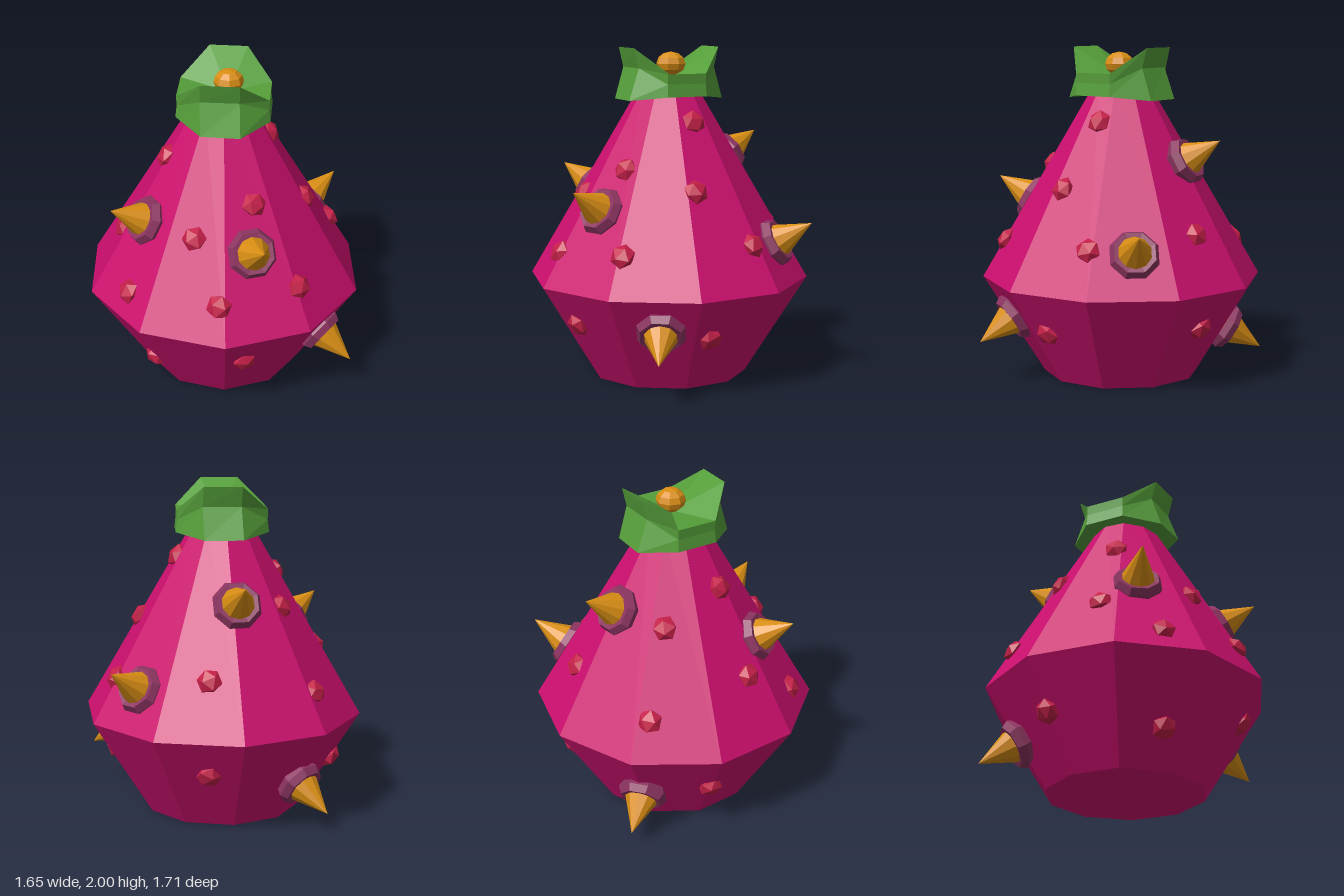
import * as THREE from 'three';

const mat = (color) => new THREE.MeshStandardMaterial({ color, flatShading: true, side: THREE.DoubleSide });
const rad = THREE.MathUtils.degToRad;
const SIDES = 10, TWIST = -2.8, WAIST = 0.6;
const R_BASE = 0.48, R_WAIST = 0.855, R_NECK = 0.18, NECK = 1.752;

// Position on the ten-sided body at an angle (0 = front, 90 = +x) and height, facing outwards
function placeOnBody(object, deg, y) {
  const upper = y > WAIST;
  const slope = upper ? (R_NECK - R_WAIST) / (NECK - WAIST) : (R_WAIST - R_BASE) / WAIST;
  const step = 360 / SIDES;
  const off = (((deg - TWIST) % step) + step) % step - step / 2;
  const r = (R_WAIST + slope * (y - WAIST)) * Math.cos(rad(step / 2)) / Math.cos(rad(off));
  const s = Math.sin(rad(deg)), c = Math.cos(rad(deg));
  object.position.set(s * r, y, c * r);
  const normal = new THREE.Vector3(s, -slope, c).normalize();
  // turn first to the angle, then tilt, so every piece sits upright on its face
  const side = new THREE.Vector3(c, 0, -s);
  const m = new THREE.Matrix4().makeBasis(side, normal, new THREE.Vector3().crossVectors(side, normal));
  object.quaternion.setFromRotationMatrix(m);
}

// Leafy cap: three eight-sided rings with raised flaps at front and back, dished on top
function capGeometry() {
  const pos = [], idx = [], n = 8;
  for (let ring = 0; ring < 3; ring++) {
    for (let i = 0; i < n; i++) {
      const a = rad(13.6 + i * 45);
      const flap = i % 4 === 0 || i % 4 === 3;
      const shrink = flap ? [1, 0.79, 0.9][ring] : [1, 0.97, 0.98][ring];
      const y = flap ? [1.69, 1.88, 2][ring] : [1.715, 1.79, 1.85][ring];
      const xs = flap && ring ? 1 / shrink : 1; // flaps lean in z only
      pos.push(0.005 + Math.sin(a) * 0.3 * shrink * xs, y, Math.cos(a) * 0.335 * shrink);
    }
  }
  pos.push(0.03, 1.83, 0, 0, 1.72, 0);
  for (let i = 0; i < n; i++) {
    const j = (i + 1) % n;
    for (const k of [0, n]) idx.push(k + i, k + j, k + n + j, k + i, k + n + j, k + n + i);
    idx.push(2 * n + i, 2 * n + j, 3 * n, j, i, 3 * n + 1);
  }
  const g = new THREE.BufferGeometry();
  g.setAttribute('position', new THREE.Float32BufferAttribute(pos, 3));
  g.setIndex(idx);
  g.computeVertexNormals();
  return g;
}

export function createModel() {
  const model = new THREE.Group();
  const add = (parent, name, geometry, material) => {
    const mesh = new THREE.Mesh(geometry, material);
    mesh.name = name;
    parent.add(mesh);
    return mesh;
  };

  // Faceted pear-shaped body
  const profile = [[0, 0], [R_BASE, 0], [R_WAIST, WAIST], [R_NECK, NECK], [0, NECK]]
    .map(([r, y]) => new THREE.Vector2(r, y));
  add(model, 'body', new THREE.LatheGeometry(profile, SIDES, rad(TWIST)), mat(0xcc0f6e));

  // Cap and the ball in its dish
  add(model, 'leafCap', capGeometry(), mat(0x559e3a));
  const yellow = mat(0xd98e14);
  const ball = add(model, 'capBall', new THREE.SphereGeometry(0.09, 8, 6), yellow);
  ball.position.set(0.03, 1.9, 0);
  ball.scale.y = 0.8;

  // Spikes, each a cone in a bevelled socket
  const socketMat = mat(0x8c3460);
  const socketGeo = new THREE.LatheGeometry(
    [[0.135, -0.03], [0.152, 0.012], [0.128, 0.055], [0.09, 0.05], [0.08, 0]]
      .map(([r, y]) => new THREE.Vector2(r, y)), 8, Math.PI / 8);
  const coneGeo = new THREE.ConeGeometry(0.112, 0.25, 10).translate(0, 0.147, 0);
  const spikes = [[13.3, 1.053], [-63.1, 1.113], [180, 1.323], [124.7, 0.838], [53.2, 0.405], [213.5, 0.265]];
  for (const [deg, y] of spikes) {
    const spike = new THREE.Group();
    spike.name = 'spike';
    add(spike, 'spikeSocket', socketGeo, socketMat);
    add(spike, 'spikeCone', coneGeo, yellow);
    placeOnBody(spike, deg, y);
    model.add(spike);
  }

  // Small flattened nubs scattered over the skin
  const nubMat = mat(0xc41f48);
  const nubGeo = new THREE.IcosahedronGeometry(0.077, 0).scale(1, 0.65, 1);
  const nubs = [
    [90, 1.565], [-80, 1.45], [21, 1.295], [-22.6, 1.125], [75, 1.18], [-84, 0.97], [-53.7, 0.74],
    [-5.6, 0.805], [35, 0.835], [102.5, 0.865], [162, 0.925], [223, 1.29], [218.7, 0.82],
    [6.5, 0.385], [78, 0.34], [162, 0.37], [249, 0.32], [-49, 0.21],
  ];
  nubs.forEach(([deg, y], i) => {
    const nub = add(model, 'nub', nubGeo, nubMat);
    placeOnBody(nub, deg, y);
    nub.rotateY(i * 1.3);
  });

  return model;
}
